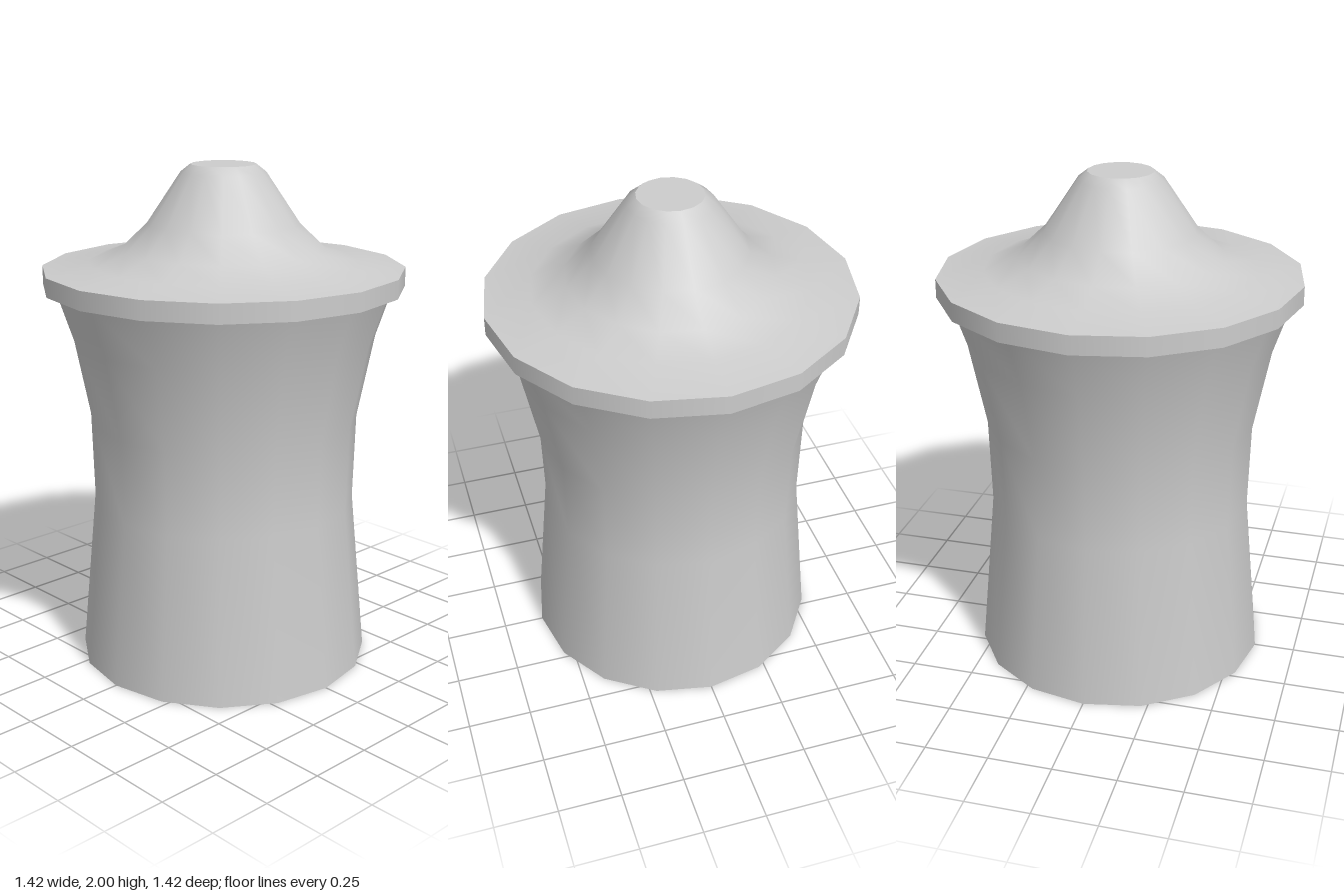
import * as THREE from 'three';

const SIDES = 16;

export function createModel() {
  const group = new THREE.Group();
  const grey = new THREE.MeshStandardMaterial({ color: 0xcccccc, side: THREE.DoubleSide });
  grey.name = 'light grey';

  // One turned surface; smooth within itself, sharp against its neighbours
  const turned = (name, profile) => {
    const points = profile.map(([r, y]) => new THREE.Vector2(r, y));
    const mesh = new THREE.Mesh(new THREE.LatheGeometry(points, SIDES), grey);
    mesh.name = name;
    group.add(mesh);
  };

  // Waisted hollow body, open at the bottom
  turned('body', [[0.587, 0], [0.526, 0.66], [0.535, 1.0], [0.6, 1.33], [0.667, 1.53]]);

  // Overhanging lid: underside ledge, rim band, bell-shaped dome and flat tip
  turned('lidLedge', [[0.667, 1.53], [0.71, 1.53]]);
  turned('lidRim', [[0.71, 1.53], [0.71, 1.604]]);
  turned('lidDome', [[0.71, 1.604], [0.53, 1.625], [0.4, 1.675], [0.297, 1.773], [0.165, 1.97], [0.127, 2]]);
  turned('lidTip', [[0.127, 2], [0, 2]]);

  return group;
}
